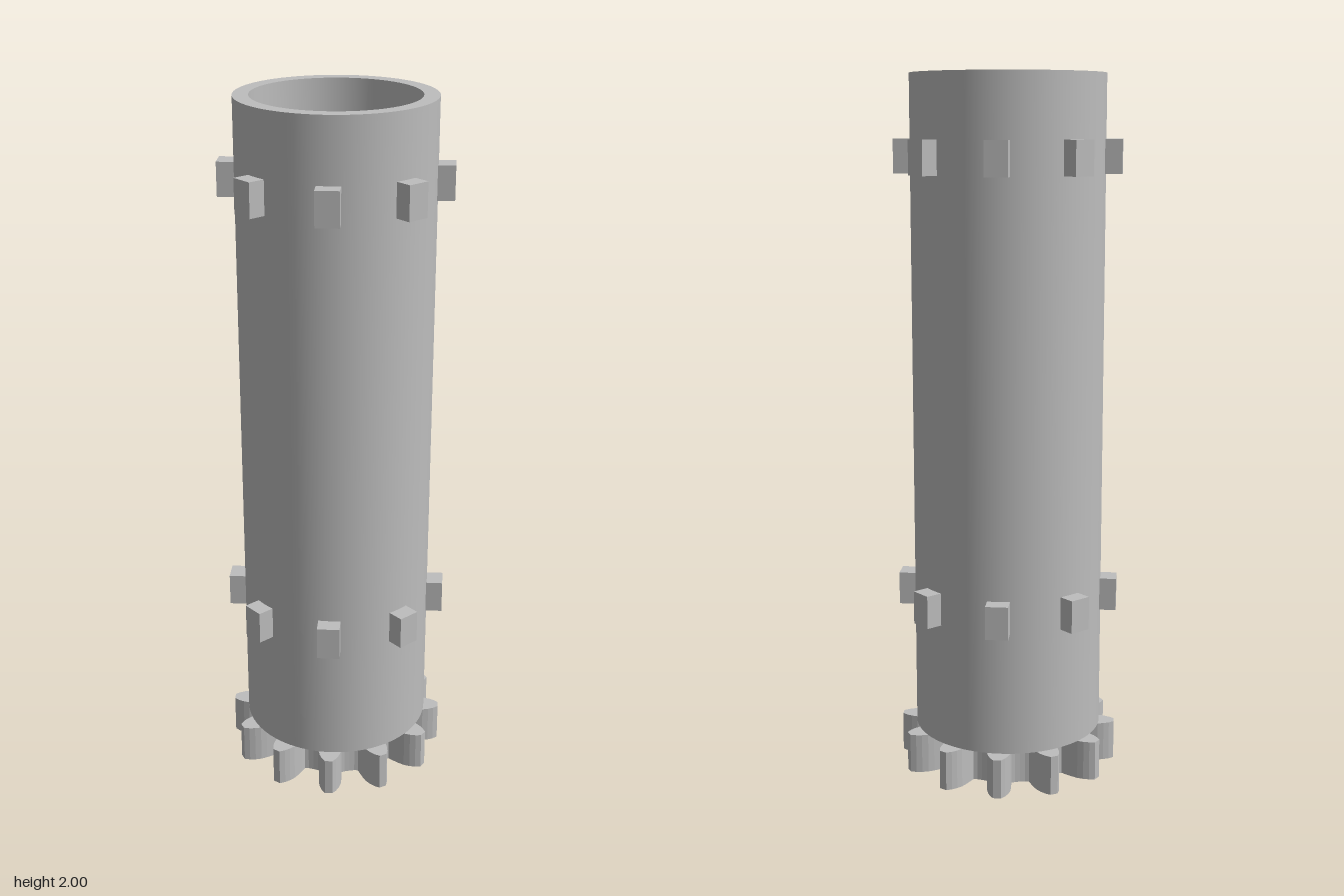
import * as THREE from 'three';

const grey = new THREE.MeshStandardMaterial({ color: 0xbdbdbd });
grey.name = 'plain grey';

const GEAR_HEIGHT = 0.115;
const SEGMENTS = 96;

function add(parent, name, geometry) {
  const mesh = new THREE.Mesh(geometry, grey);
  mesh.name = name;
  parent.add(mesh);
  return mesh;
}

// Revolve a profile with a hard edge between each pair of neighbouring points
function addTurned(parent, name, points) {
  const group = new THREE.Group();
  group.name = name;
  for (let i = 0; i < points.length - 1; i++) {
    const pair = [points[i], points[i + 1]].map(([r, y]) => new THREE.Vector2(r, y));
    add(group, name + 'Face' + (i + 1), new THREE.LatheGeometry(pair, SEGMENTS));
  }
  parent.add(group);
}

// Twelve-tooth outline with curved flanks and a central bore
function gearShape() {
  const teeth = 12;
  const pitch = (Math.PI * 2) / teeth;
  const deg = Math.PI / 180;
  // radius and half angle from root to tip
  const flank = [[0.217, 8.2], [0.235, 7.9], [0.255, 7.5], [0.273, 6.9], [0.29, 5.6], [0.305, 4.0], [0.318, 2.0]];
  const points = [];
  const polar = (r, a) => points.push(new THREE.Vector2(r * Math.cos(a), r * Math.sin(a)));
  for (let i = 0; i < teeth; i++) {
    const mid = (i + 0.5) * pitch;
    flank.forEach(([r, h]) => polar(r, mid - h * deg));
    [...flank].reverse().forEach(([r, h]) => polar(r, mid + h * deg));
    // rounded valley between teeth
    polar(0.213, mid + 11 * deg);
    polar(0.212, mid + 15 * deg);
    polar(0.213, mid + 19 * deg);
  }
  const shape = new THREE.Shape(points);
  shape.holes.push(new THREE.Path().absarc(0, 0, 0.127, 0, Math.PI * 2, true));
  return shape;
}

export function createModel() {
  const model = new THREE.Group();
  model.name = 'gearedSleeve';

  // Sleeve: underside, outer wall, rim, top recess, floor, small bore, lower counterbore
  addTurned(model, 'sleeve', [
    [0.127, GEAR_HEIGHT], [0.273, GEAR_HEIGHT], [0.273, 2], [0.23, 2], [0.23, 1.81],
    [0.077, 1.81], [0.077, 1.6], [0.127, 1.6], [0.127, GEAR_HEIGHT],
  ]);

  // Gear at the foot
  const gear = new THREE.ExtrudeGeometry(gearShape(), {
    depth: GEAR_HEIGHT, bevelEnabled: false, curveSegments: SEGMENTS,
  });
  gear.rotateX(-Math.PI / 2);
  add(model, 'gear', gear);

  // Two rings of eight lugs
  const lug = new THREE.BoxGeometry(0.064, 0.095, 0.058);
  lug.translate(0, 0, 0.29);
  [['lowerLugs', 0.518], ['upperLugs', 1.775]].forEach(([name, y]) => {
    const ring = new THREE.Group();
    ring.name = name;
    ring.position.y = y;
    for (let i = 0; i < 8; i++) add(ring, 'lug', lug).rotation.y = (i * Math.PI) / 4;
    model.add(ring);
  });

  return model;
}
